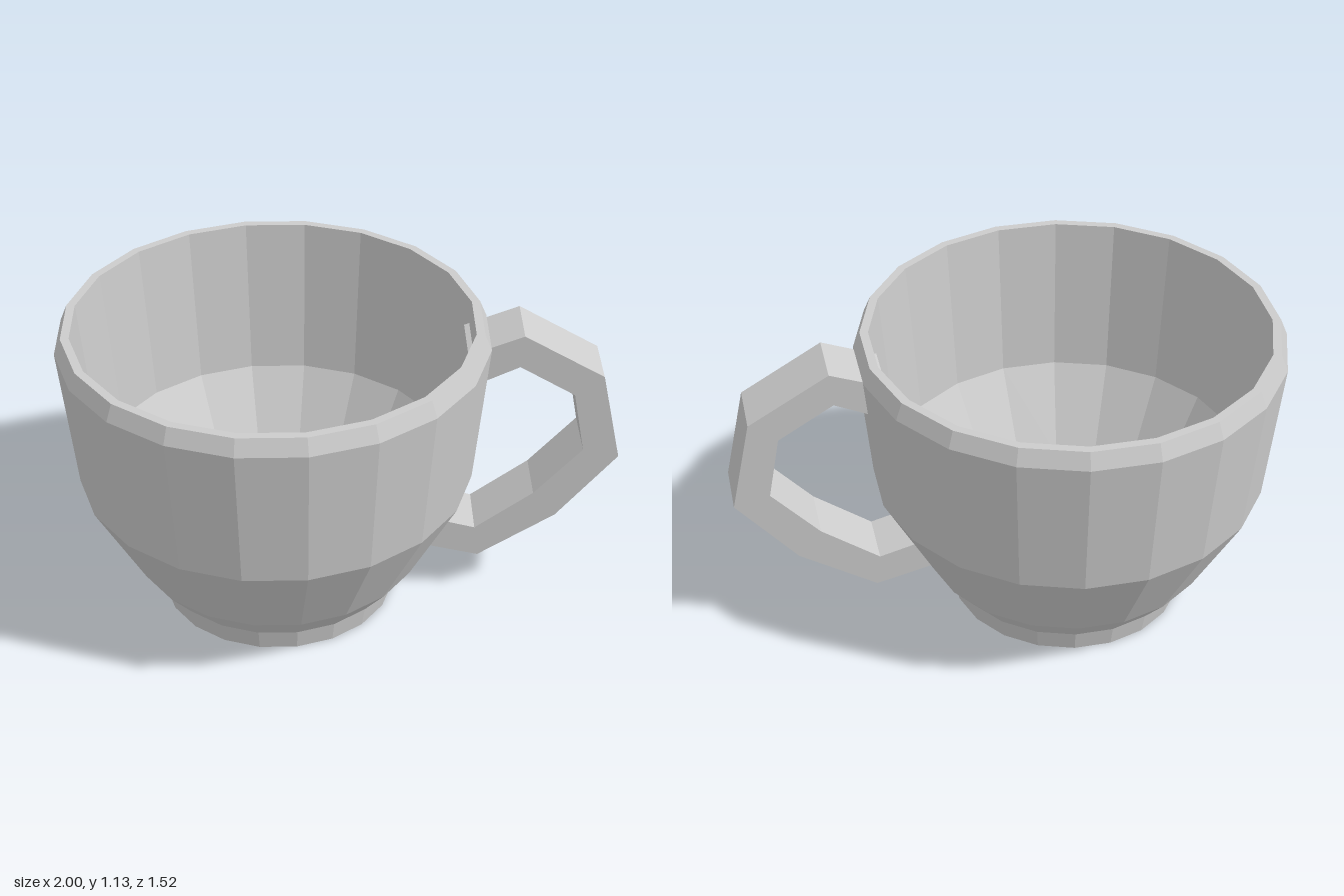
import * as THREE from 'three';

const SIDES = 20;
const CUP_X = -0.24;
const HANDLE_WIDTH = 0.21;

export function createModel() {
  const group = new THREE.Group();
  group.name = 'cup';
  const ceramic = new THREE.MeshStandardMaterial({ color: 0xcccccc, flatShading: true });
  ceramic.name = 'grey ceramic';

  // Bowl: foot, flared belly, bevelled rim and hollow inside, as [distance to flat, height]
  const profile = [
    [0, 0], [0.43, 0], [0.445, 0.08], [0.535, 0.19], [0.71, 0.53], [0.76, 1.07], [0.735, 1.13],
    [0.705, 1.13], [0.655, 0.53], [0.48, 0.2], [0.39, 0.08], [0, 0.08],
  ];
  const toCorner = 1 / Math.cos(Math.PI / SIDES);
  const bowl = new THREE.Mesh(
    new THREE.LatheGeometry(
      profile.map(([r, y]) => new THREE.Vector2(r * toCorner, y)), SIDES, Math.PI / SIDES),
    ceramic);
  bowl.name = 'bowl';
  bowl.position.x = CUP_X;
  group.add(bowl);

  // Handle: faceted ear outline, both ends sunk into the wall
  const outer = [[0.44, 1.04], [0.635, 1.115], [0.925, 0.945], [1, 0.605], [0.785, 0.345], [0.505, 0.165], [0.28, 0.22]];
  const inner = [[0.325, 0.335], [0.49, 0.29], [0.7, 0.445], [0.87, 0.635], [0.825, 0.87], [0.625, 0.99], [0.485, 0.925]];
  const outline = new THREE.Shape([...outer, ...inner].map(([x, y]) => new THREE.Vector2(x, y)));
  const handle = new THREE.Mesh(
    new THREE.ExtrudeGeometry(outline, { depth: HANDLE_WIDTH, bevelEnabled: false }), ceramic);
  handle.name = 'handle';
  handle.position.z = -HANDLE_WIDTH / 2;
  group.add(handle);

  return group;
}
